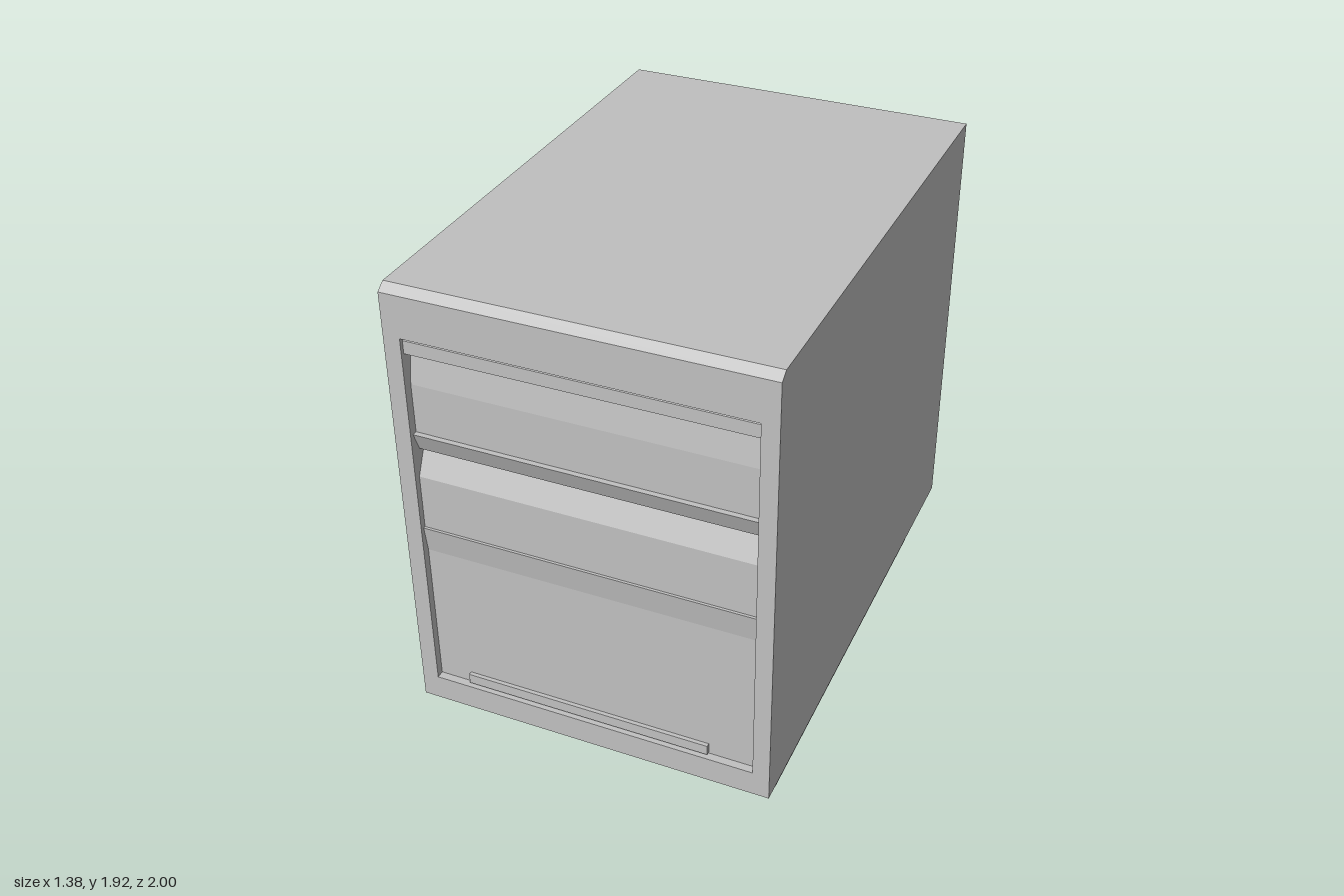
import * as THREE from 'three';

const steel = new THREE.MeshStandardMaterial({ color: 0xc0c0c0 });
steel.name = 'grey steel';

const HALF_OPENING = 0.627;

function addMesh(parent, name, geometry) {
  const mesh = new THREE.Mesh(geometry, steel);
  mesh.name = name;
  parent.add(mesh);
  return mesh;
}

function rectangle(Type, x, bottom, top) {
  return new Type([[-x, bottom], [x, bottom], [x, top], [-x, top]]
    .map(([px, py]) => new THREE.Vector2(px, py)));
}

// Hollow shell: a tube open at front and back, with a gently crowned top
function shellGeometry() {
  const outline = rectangle(THREE.Shape, 0.69, 0.18, 1.93);
  outline.holes.push(rectangle(THREE.Path, HALF_OPENING, 0.28, 1.745));
  const geo = new THREE.ExtrudeGeometry(outline, { depth: 2, steps: 2, bevelEnabled: false });
  const p = geo.attributes.position;
  const zOf = [-1, 0.965, 1];
  const topOf = [1.905, 1.93, 1.905];
  for (let i = 0; i < p.count; i++) {
    const step = Math.round(p.getZ(i));
    const y = p.getY(i);
    p.setZ(i, zOf[step]);
    if (y > 1.9) p.setY(i, topOf[step]);
    else if (y > 1.7 && step === 0) p.setY(i, 1.8);
  }
  geo.computeVertexNormals();
  return geo;
}

// Sweep a [z, y] side profile across the width of the opening
function acrossOpening(profile) {
  const shape = new THREE.Shape(profile.map(([z, y]) => new THREE.Vector2(z, y)));
  const geo = new THREE.ExtrudeGeometry(shape, { depth: 2 * HALF_OPENING, bevelEnabled: false });
  return geo.rotateY(-Math.PI / 2).translate(HALF_OPENING, 0, 0);
}

function boxAt(x0, x1, y0, y1, z0, z1) {
  return new THREE.BoxGeometry(x1 - x0, y1 - y0, z1 - z0)
    .translate((x0 + x1) / 2, (y0 + y1) / 2, (z0 + z1) / 2);
}

export function createModel() {
  const cabinet = new THREE.Group();
  cabinet.name = 'drawerCabinet';

  addMesh(cabinet, 'shell', shellGeometry());

  // Plinth, its front leaning in a little towards the floor
  const plinth = boxAt(-0.635, 0.635, 0.005, 0.18, -0.815, 0.8);
  const p = plinth.attributes.position;
  for (let i = 0; i < p.count; i++) {
    if (p.getY(i) < 0.1 && p.getZ(i) > 0) p.setZ(i, 0.78);
  }
  plinth.computeVertexNormals();
  addMesh(cabinet, 'plinth', plinth);

  // Drawer fronts and the rails between them, from bottom to top
  const fronts = {
    lowerDrawer: [[0.9, 0.28], [0.97, 0.28], [0.97, 0.86], [0.985, 0.965], [0.9, 0.965]],
    middleDrawer: [[0.9, 0.965], [0.975, 0.965], [0.975, 1.18], [0.925, 1.285], [0.9, 1.285]],
    middleRail: [[0.9, 1.285], [0.955, 1.285], [0.985, 1.36], [0.9, 1.36]],
    upperDrawer: [[0.9, 1.36], [0.965, 1.36], [0.965, 1.55], [0.945, 1.68], [0.9, 1.68]],
    topRail: [[0.9, 1.68], [0.985, 1.68], [0.985, 1.73], [0.95, 1.745], [0.9, 1.745]],
  };
  for (const [name, profile] of Object.entries(fronts)) {
    addMesh(cabinet, name, acrossOpening(profile));
  }

  // Slim lip along the foot of the lower drawer
  addMesh(cabinet, 'lowerLip', boxAt(-0.5, 0.45, 0.285, 0.325, 0.96, 0.985));

  // Recessed back panel with two cross rails
  const w = HALF_OPENING;
  addMesh(cabinet, 'backPanel', boxAt(-w, w, 0.28, 1.8, -0.94, -0.9));
  addMesh(cabinet, 'backMiddleRail', boxAt(-w, w, 0.96, 1.01, -0.99, -0.93));
  addMesh(cabinet, 'backTopRail', boxAt(-w, w, 1.73, 1.78, -0.985, -0.93));

  return cabinet;
}
